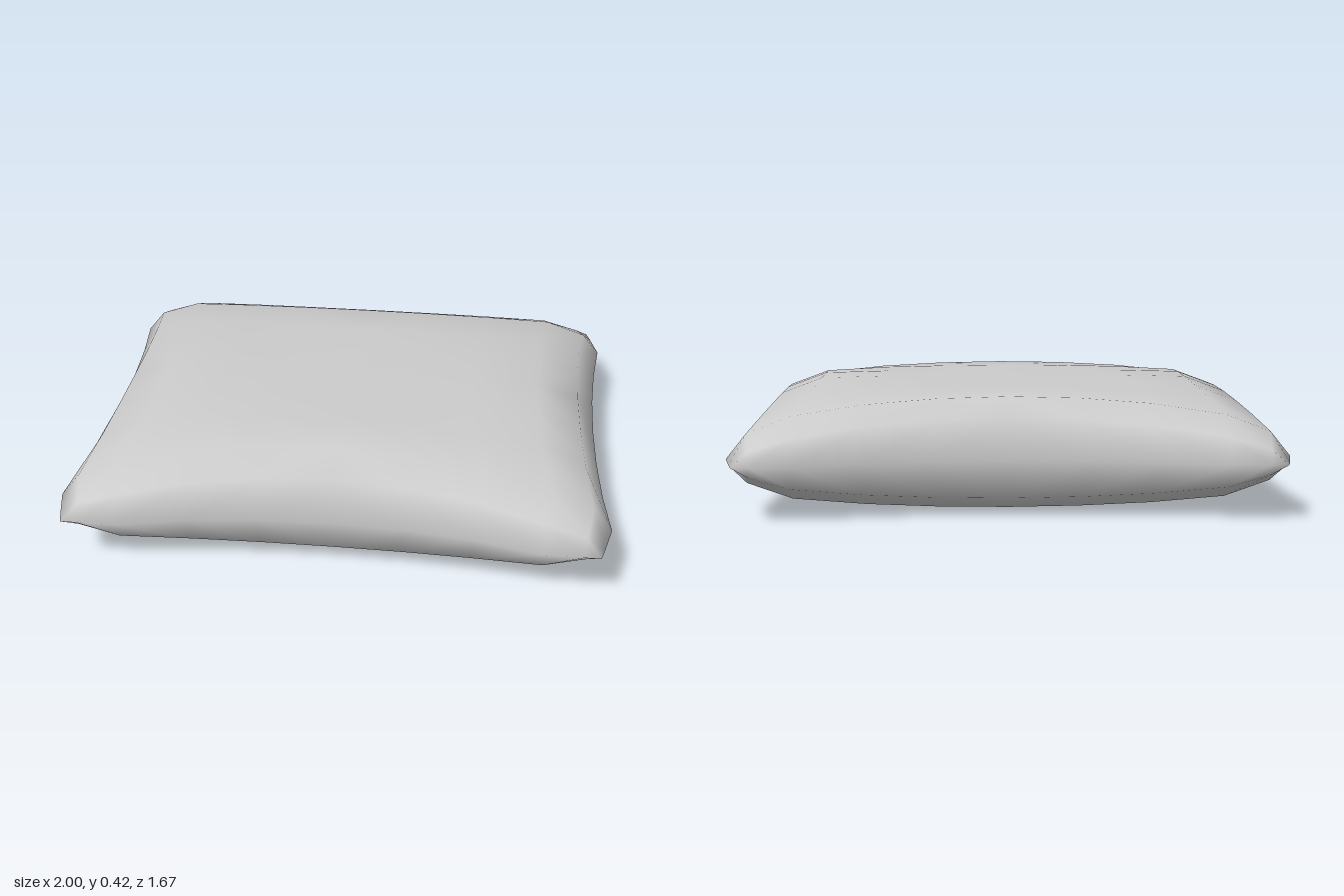
import * as THREE from 'three';
import { mergeVertices } from 'three/addons/utils/BufferGeometryUtils.js';

const HALF_HEIGHT = 0.209;

// Grid lines from the middle to the seam, gathered at the seam
const KNOTS = [0, 0.25, 0.5, 0.76, 0.925, 1];
const N = KNOTS.length - 1;
const knot = (i) => Math.sign(i) * KNOTS[Math.abs(i)];

// Flat middle that falls off to the seam
const bulge = (t) => Math.pow(1 - Math.pow(Math.abs(t), 12), 0.75);

// Concave sides flare towards the corners; left and right are cut off at the tip
const endFlare = (t) => Math.min(1, Math.abs(t) / 0.76) ** 2;
const sideFlare = (t) => (Math.abs(t) < 0.76 ? endFlare(t) : (1 - Math.abs(t)) / 0.24);

// Pushes grid lines outward near the corners
const spread = (along, across) => 0.1 * across ** 4 * (1 - along * along);

// Surface point; side = 1 is the upper face, -1 the lower
function point(i, j, side) {
  const u = knot(i);
  const v = knot(j);
  const thickness = bulge(u) * bulge(v) * (1 - 0.75 * u * u * v * v);
  return [
    u * (0.957 + 0.043 * sideFlare(v) + spread(u, v)),
    HALF_HEIGHT * (1 + side * thickness),
    v * (0.735 + 0.1 * endFlare(u) + spread(v, u)),
  ];
}

function cushionGeometry() {
  const positions = [];
  for (const side of [1, -1]) {
    for (let i = -N; i < N; i++) {
      for (let j = -N; j < N; j++) {
        const a = point(i, j, side);
        const b = point(i + 1, j, side);
        const c = point(i + 1, j + 1, side);
        const d = point(i, j + 1, side);
        // Diagonals run out towards the corners
        const outward = i < 0 === j < 0;
        const triangles = outward ? [[a, d, c], [a, c, b]] : [[a, d, b], [d, c, b]];
        for (const t of triangles) {
          if (side < 0) t.reverse();
          positions.push(...t.flat());
        }
      }
    }
  }
  const geo = new THREE.BufferGeometry();
  geo.setAttribute('position', new THREE.Float32BufferAttribute(positions, 3));
  // Weld the halves along the seam for smooth shading
  const welded = mergeVertices(geo, 1e-4);
  welded.computeVertexNormals();
  return welded;
}

export function createModel() {
  const group = new THREE.Group();
  group.name = 'pillow';
  const cushion = new THREE.Mesh(
    cushionGeometry(),
    new THREE.MeshStandardMaterial({ color: 0xcccccc })
  );
  cushion.name = 'cushion';
  group.add(cushion);
  return group;
}
